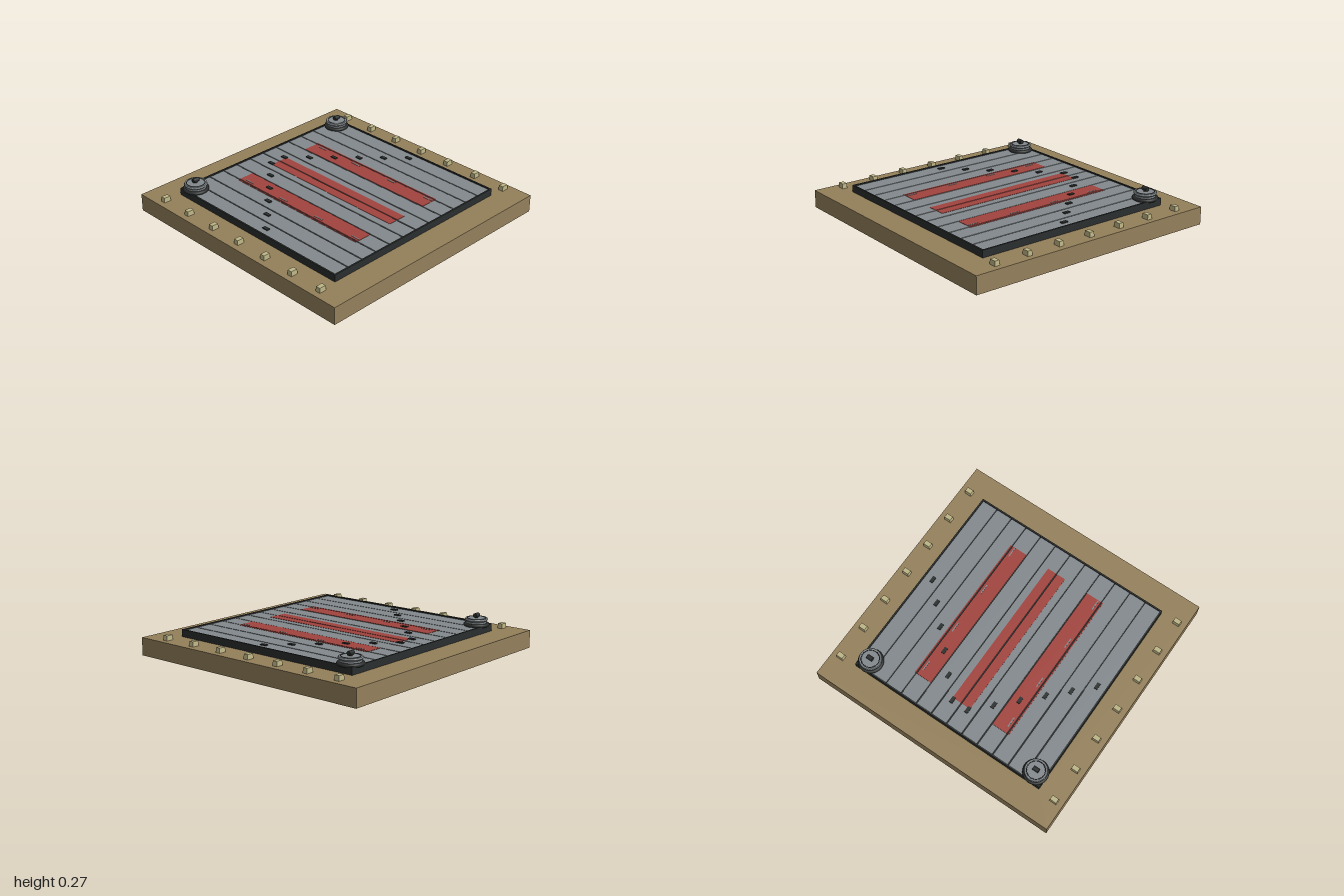
import * as THREE from 'three';

const material = (name, color) => {
  const m = new THREE.MeshStandardMaterial({ color });
  m.name = name;
  return m;
};

export function createModel() {
  const model = new THREE.Group();
  const timber = material('brown timber', 0x94805b);
  const iron = material('dark iron', 0x2b2e2e);
  const steel = material('grey steel', 0x83898d);
  const red = material('red paint', 0xa2433d);
  const brass = material('pale brass', 0xbdb586);

  const add = (name, geometry, mat, x, y, z, parent = model) => {
    const mesh = new THREE.Mesh(geometry, mat);
    mesh.name = name;
    mesh.position.set(x, y, z);
    parent.add(mesh);
    return mesh;
  };
  // Box placed by its centre in x and z and by its bottom and top
  const box = (name, mat, x, z, w, d, y0, y1) =>
    add(name, new THREE.BoxGeometry(w, y1 - y0, d), mat, x, (y0 + y1) / 2, z);

  // Square frame, extruded upwards around a square opening
  const frame = (name, mat, outer, inner, y0, y1) => {
    const square = (Shape, r) => new Shape([[-r, -r], [r, -r], [r, r], [-r, r]].map(p => new THREE.Vector2(...p)));
    const shape = square(THREE.Shape, outer);
    shape.holes.push(square(THREE.Path, inner));
    const g = new THREE.ExtrudeGeometry(shape, { depth: y1 - y0, bevelEnabled: false });
    g.rotateX(-Math.PI / 2);
    add(name, g, mat, 0, y0, 0);
  };

  // Base, hatch body and raised rim
  frame('baseFrame', timber, 1, 0.797, 0, 0.133);
  box('hatchBody', iron, 0, 0, 1.594, 1.594, 0, 0.168);
  frame('hatchRim', iron, 0.797, 0.785, 0.168, 0.187);

  // Deck planks with narrow dark seams
  const pitch = 0.132;
  for (let i = 0; i < 12; i++) {
    box('plank', steel, (i - 5.5) * pitch, 0, pitch - 0.008, 1.57, 0.168, 0.178);
  }

  // Painted stripes, cut where a seam crosses them
  const stripe = (x0, x1) =>
    box('redStripe', red, (x0 + x1) / 2, 0, x1 - x0, 1.21, 0.177, 0.180);
  for (const [a, b] of [[0.004, 0.075], [0.268, 0.392], [0.4, 0.41]]) {
    stripe(a, b);
    stripe(-b, -a);
  }

  // Short steel dashes on the outer stripes
  for (const x of [-0.37, 0.37]) {
    for (let i = 0; i < 4; i++) {
      box('stripeDash', steel, x, -0.52 + i * 0.36, 0.009, 0.08, 0.178, 0.182);
    }
  }

  // Cleats in a chevron
  for (const side of [-1, 1]) {
    for (let i = 0; i < 6; i++) {
      box('deckCleat', iron, side * (0.066 + i * 0.1315), -0.62 + i * 0.134, 0.026, 0.05, 0.176, 0.186);
    }
  }

  // Studs along both sides, slightly tapered
  for (const side of [-1, 1]) {
    for (let i = 0; i < 7; i++) {
      const g = new THREE.BoxGeometry(0.057, 0.036, 0.04);
      const p = g.attributes.position;
      for (let k = 0; k < p.count; k++) {
        if (p.getY(k) > 0) p.setXYZ(k, p.getX(k) * 0.88, p.getY(k), p.getZ(k) * 0.88);
      }
      g.computeVertexNormals();
      add('sideStud', g, brass, side * 0.928, 0.151, (i - 3) * 0.267);
    }
  }

  // Valve wheels at the two back corners
  for (const side of [-1, 1]) {
    const wheel = new THREE.Group();
    wheel.name = 'valveWheel';
    wheel.position.set(side * 0.716, 0, -0.717);
    model.add(wheel);
    const disc = (name, mat, top, bottom, y0, y1) =>
      add(name, new THREE.CylinderGeometry(top, bottom, y1 - y0, 32), mat, 0, (y0 + y1) / 2, 0, wheel);
    const ring = (name, mat, radius, tube, y) => {
      const g = new THREE.TorusGeometry(radius, tube, 10, 40);
      g.rotateX(Math.PI / 2);
      add(name, g, mat, 0, y, 0, wheel);
    };
    disc('wheelFoot', iron, 0.08, 0.07, 0.168, 0.198);
    ring('wheelSeal', iron, 0.081, 0.014, 0.187);
    disc('wheelNeck', steel, 0.075, 0.075, 0.195, 0.215);
    disc('wheelFlange', steel, 0.085, 0.075, 0.213, 0.224);
    disc('wheelCap', steel, 0.08, 0.085, 0.224, 0.234);
    ring('wheelGroove', iron, 0.066, 0.003, 0.234);
    disc('wheelStem', iron, 0.012, 0.012, 0.23, 0.25);
    const knob = add('wheelKnob', new THREE.CylinderGeometry(0.016, 0.016, 0.046, 16), iron, 0, 0.254, 0, wheel);
    knob.rotation.z = Math.PI / 2;
  }

  return model;
}
